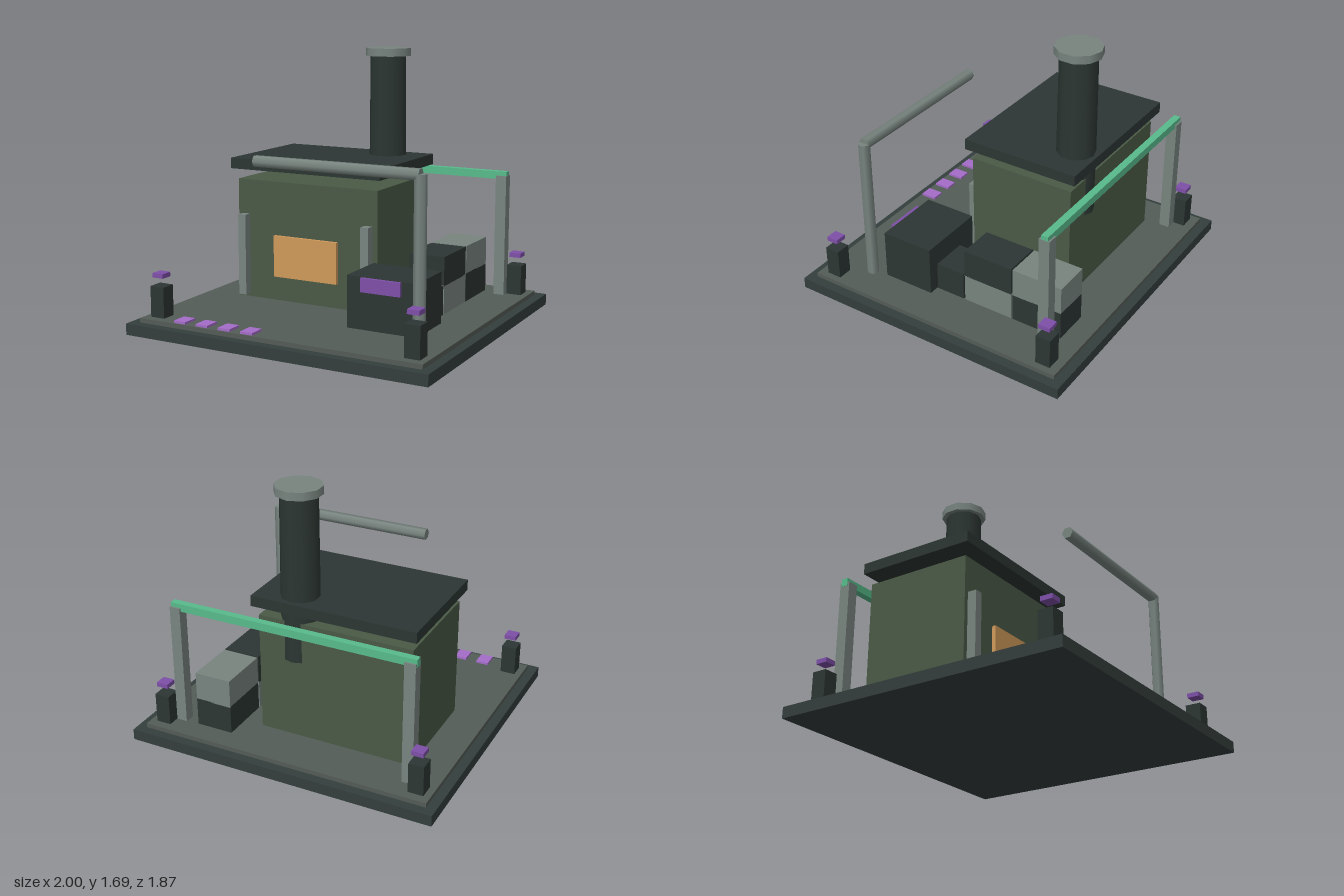
import * as THREE from 'three';

const mat = (color) => new THREE.MeshStandardMaterial({ color });

export function createModel() {
  const model = new THREE.Group();
  const dark = mat(0x2c3633), rim = mat(0x343e3c), deckMat = mat(0x545c57);
  const wall = mat(0x4a5a46), metal = mat(0x78847f), amber = mat(0xd09a5a);
  const purple = mat(0x7e4fa8), lilac = mat(0xa46cc8), green = mat(0x58bb8c);

  const add = (name, geometry, material, x, y, z) => {
    const mesh = new THREE.Mesh(geometry, material);
    mesh.name = name;
    mesh.position.set(x, y, z);
    model.add(mesh);
    return mesh;
  };
  // box given by its extents along each axis
  const box = (name, material, [x0, x1], [y0, y1], [z0, z1]) =>
    add(name, new THREE.BoxGeometry(x1 - x0, y1 - y0, z1 - z0), material,
      (x0 + x1) / 2, (y0 + y1) / 2, (z0 + z1) / 2);

  // ground slab and deck
  box('baseSlab', rim, [-1, 1], [0, 0.07], [-0.937, 0.937]);
  box('deck', deckMat, [-0.94, 0.94], [0.07, 0.098], [-0.877, 0.877]);

  // main building with floating roof, front pilasters and window
  box('building', wall, [-0.712, 0.285], [0.098, 0.864], [-0.573, 0.122]);
  box('roof', dark, [-0.745, 0.315], [0.932, 1.0], [-0.613, 0.157]);
  box('window', amber, [-0.44, 0.012], [0.255, 0.52], [0.115, 0.145]);
  for (const x of [-0.656, 0.224])
    box('pilaster', metal, [x - 0.027, x + 0.027], [0.12, 0.642], [0.118, 0.179]);

  // chimney
  add('chimney', new THREE.CylinderGeometry(0.115, 0.122, 1.035, 10), dark, 0.058, 1.1225, -0.47);
  add('chimneyCap', new THREE.CylinderGeometry(0.145, 0.145, 0.05, 10), metal, 0.058, 1.663, -0.47);

  // corner bollards with hovering lamps
  for (const x of [-0.85, 0.85]) for (const z of [-0.773, 0.773]) {
    box('bollard', dark, [x - 0.048, x + 0.048], [0.098, 0.29], [z - 0.048, z + 0.048]);
    box('bollardLamp', purple, [x - 0.038, x + 0.038], [0.342, 0.37], [z - 0.038, z + 0.038]);
  }

  // rear gantry
  for (const x of [-0.765, 0.765])
    box('gantryPost', metal, [x - 0.035, x + 0.035], [0.098, 0.878], [-0.746, -0.677]);
  box('gantryBeam', green, [-0.803, 0.797], [0.856, 0.905], [-0.735, -0.69]);

  // front pipe
  add('pipeRiser', new THREE.CylinderGeometry(0.037, 0.037, 0.925, 6), metal, 0.77, 0.6025, 0.558);
  const pipe = add('pipeArm', new THREE.CylinderGeometry(0.037, 0.037, 1.075, 6), metal, 0.233, 1.062, 0.558);
  pipe.rotation.z = Math.PI / 2;

  // control cabinet with screen
  box('cabinet', dark, [0.272, 0.722], [0.108, 0.424], [0.146, 0.488]);
  box('screen', purple, [0.37, 0.625], [0.338, 0.422], [0.486, 0.51]);

  // crates in two layers, alternating materials
  const crates = [
    [0, 0.1, dark], [1, 0.1, metal], [2, 0.1, dark],
    [1, 0.277, dark], [2, 0.277, metal],
  ];
  for (const [i, y, material] of crates) {
    const z = 0.118 - i * 0.345;
    box('crate', material, [0.41, 0.648], [y, y + 0.182], [z - 0.167, z + 0.167]);
  }

  // row of floor tiles
  for (let i = 0; i < 4; i++) {
    const x = -0.655 + i * 0.157;
    box('floorTile', lilac, [x - 0.041, x + 0.041], [0.096, 0.113], [0.762, 0.865]);
  }
  return model;
}
